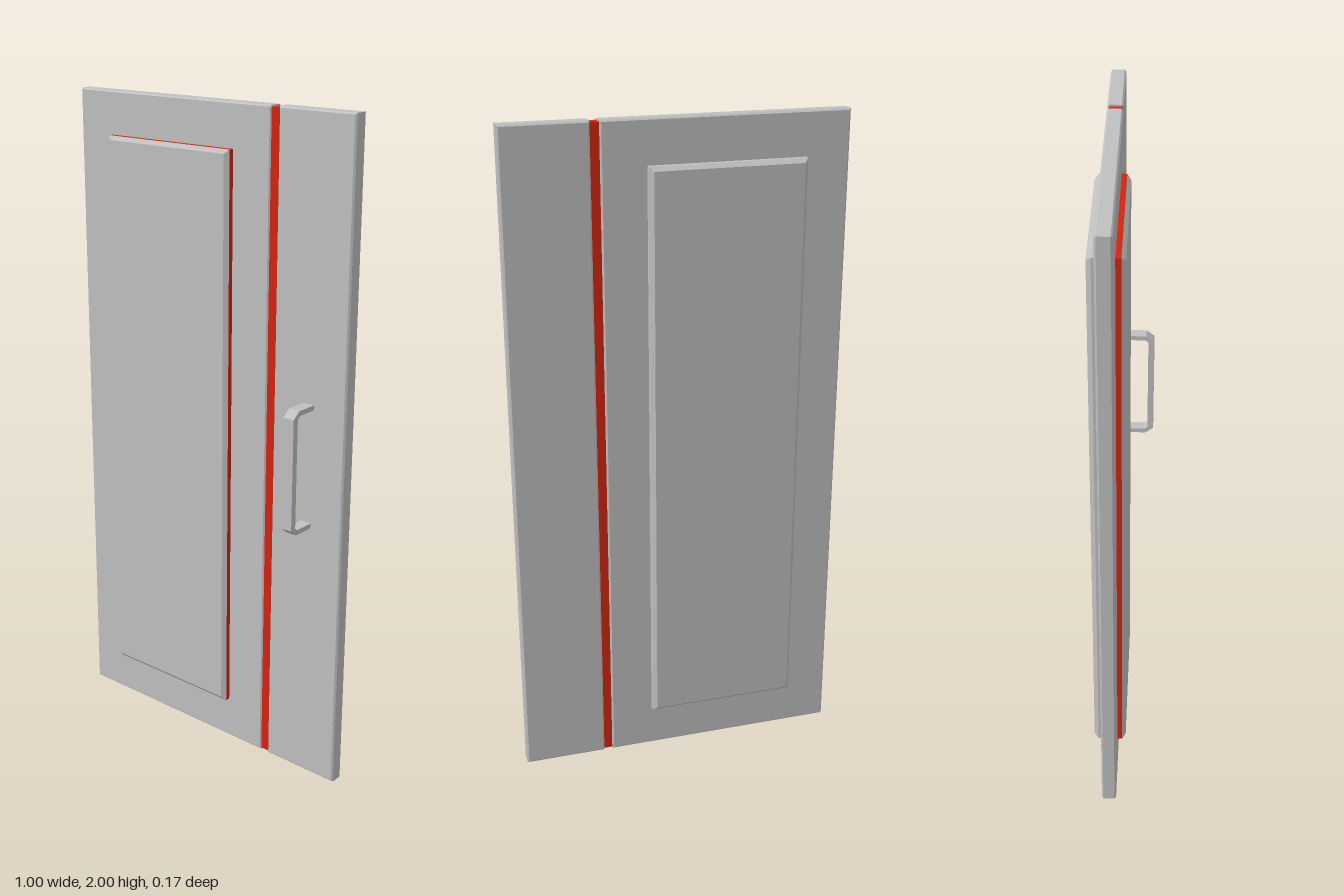
import * as THREE from 'three';

const grey = new THREE.MeshStandardMaterial({ color: 0xc0c0c0 });
grey.name = 'door grey';
const red = new THREE.MeshStandardMaterial({ color: 0xd42410 });
red.name = 'accent red';

function part(name, geometry, material) {
  const mesh = new THREE.Mesh(geometry, material);
  mesh.name = name;
  return mesh;
}

// Block with its front and back edges chamfered: inset in x/y, drop in z
function chamferedBlock(x0, x1, y0, y1, z0, z1, inset, drop) {
  const s = new THREE.Shape();
  s.moveTo(x0 + inset, y0 + inset);
  s.lineTo(x1 - inset, y0 + inset);
  s.lineTo(x1 - inset, y1 - inset);
  s.lineTo(x0 + inset, y1 - inset);
  s.closePath();
  const g = new THREE.ExtrudeGeometry(s, {
    depth: z1 - z0 - 2 * drop, bevelEnabled: true,
    bevelSize: inset, bevelThickness: drop, bevelSegments: 1,
  });
  return g.translate(0, 0, z0 + drop);
}

function block(x0, x1, y0, y1, z0, z1) {
  return new THREE.BoxGeometry(x1 - x0, y1 - y0, z1 - z0)
    .translate((x0 + x1) / 2, (y0 + y1) / 2, (z0 + z1) / 2);
}

// U-shaped pull drawn in the z/y plane and extruded across x
function handleGeometry() {
  const s = new THREE.Shape();
  [[-0.012, 0.815], [0.058, 0.815], [0.083, 0.835], [0.083, 1.17],
    [0.058, 1.19], [-0.012, 1.19], [-0.012, 1.175], [0.054, 1.175],
    [0.064, 1.167], [0.064, 0.838], [0.054, 0.83], [-0.012, 0.83],
  ].forEach(([z, y], i) => (i ? s.lineTo(z, y) : s.moveTo(z, y)));
  s.closePath();
  return new THREE.ExtrudeGeometry(s, { depth: 0.036, bevelEnabled: false })
    .rotateY(-Math.PI / 2)
    .translate(0.392, 0, 0);
}

export function createModel() {
  const door = new THREE.Group();
  door.name = 'door';

  // Two leaves with a red strip recessed between them
  door.add(part('wideLeaf', chamferedBlock(-0.5, 0.223, 0, 2, -0.055, -0.01, 0.005, 0.005), grey));
  door.add(part('narrowLeaf', chamferedBlock(0.249, 0.5, 0, 2, -0.055, -0.01, 0.005, 0.005), grey));
  door.add(part('dividerStrip', block(0.215, 0.257, 0.005, 1.995, -0.05, -0.014), red));

  // Raised panels; the front one has red side walls
  const [x0, x1, y0, y1] = [-0.37, 0.092, 0.135, 1.872];
  door.add(part('frontPanelEdge', block(x0, x1, y0, y1, -0.02, 0.005), red));
  door.add(part('frontPanel', chamferedBlock(x0, x1, y0, y1, -0.006, 0.016, 0.012, 0.011), grey));
  door.add(part('backPanel', chamferedBlock(x0, x1, y0, y1, -0.083, -0.035, 0.012, 0.013), grey));

  door.add(part('handle', handleGeometry(), grey));
  return door;
}
